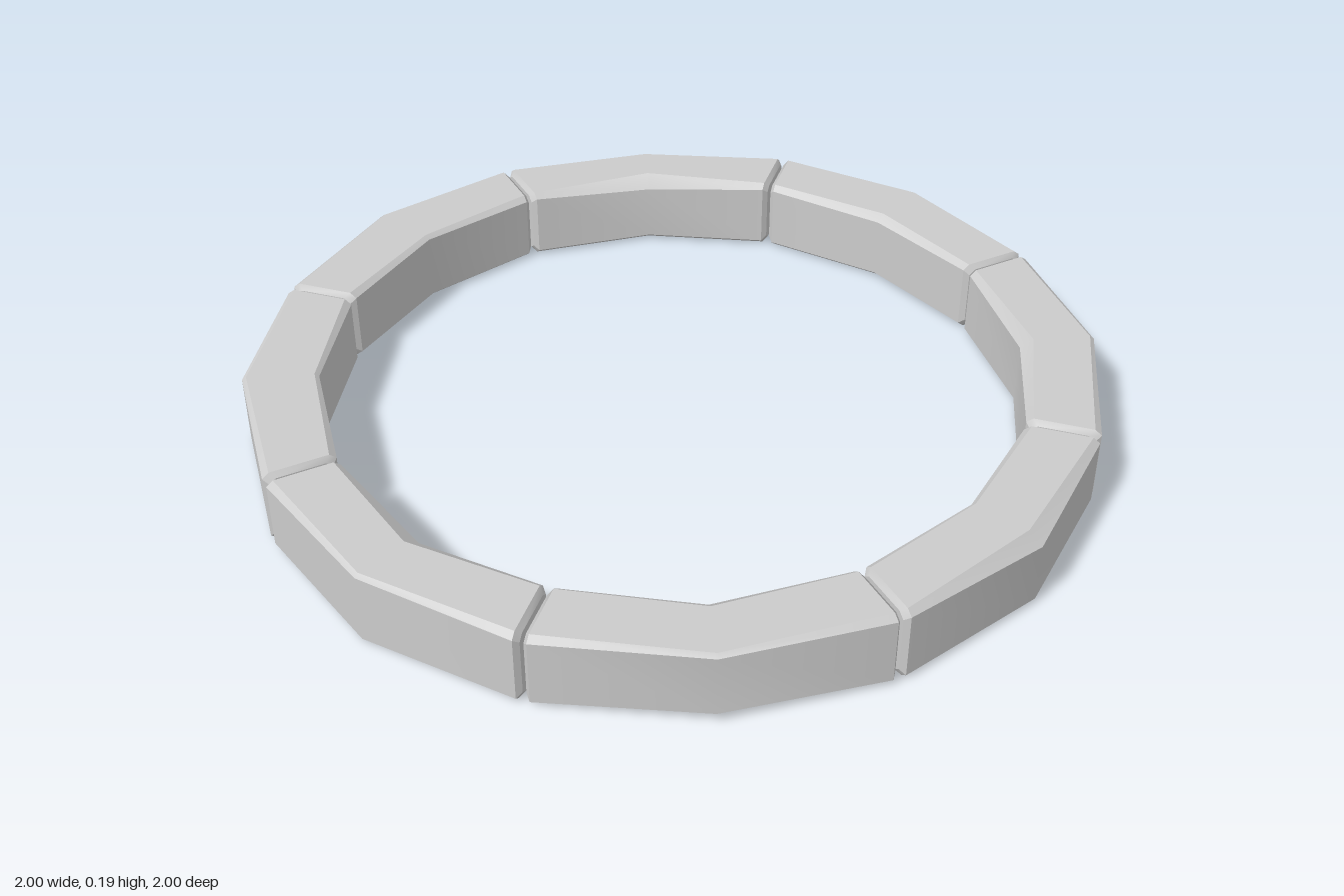
import * as THREE from 'three';
import { toCreasedNormals } from 'three/addons/utils/BufferGeometryUtils.js';

const INNER = 0.83, OUTER = 1.0, BOTTOM = 0.005, TOP = 0.19;
const STONES = 8, STEP = (Math.PI * 2) / STONES;

// Chamfers at the middle of each stone: outer top, inner top, inner bottom, outer bottom
const MID_CHAMFERS = [
  [0.035, 0.010, 0.020, 0.015],
  [0.010, 0.035, 0.015, 0.035],
  [0.010, 0.040, 0.025, 0.010],
  [0.010, 0.010, 0.025, 0.015],
  [0.010, 0.012, 0.015, 0.020],
  [0.035, 0.037, 0.015, 0.010],
  [0.013, 0.022, 0.015, 0.035],
  [0.010, 0.030, 0.015, 0.030],
];
const END_CHAMFERS = [0.016, 0.016, 0.016, 0.016];

// Chamfered rectangle as [radius, height] pairs, counter-clockwise
function profile([ot, it, ib, ob], inset, grow = 0) {
  const a = INNER + inset, b = OUTER - inset + grow, lo = BOTTOM + inset, hi = TOP - inset;
  const v = 0.8; // chamfers are slightly wider than they are tall
  return [
    [b, lo + ob * v], [b, hi - ot * v], [b - ot, hi], [a + it, hi],
    [a, hi - it * v], [a, lo + ib * v], [a + ib, lo], [b - ob, lo],
  ];
}

// One stone: cross-sections swept from seam to seam through a bent middle
function stoneGeometry(index) {
  const start = index * STEP, end = start + STEP;
  const sections = [
    { angle: start, shift: 0.004, points: profile(END_CHAMFERS, 0.012) },
    { angle: start, shift: 0.015, points: profile(END_CHAMFERS, 0) },
    { angle: start + STEP / 2, shift: 0, points: profile(MID_CHAMFERS[index], 0, 0.008) },
    { angle: end, shift: -0.015, points: profile(END_CHAMFERS, 0) },
    { angle: end, shift: -0.004, points: profile(END_CHAMFERS, 0.012) },
  ];
  const positions = [], faces = [], n = 8;
  for (const { angle, shift, points } of sections) {
    const c = Math.cos(angle), s = Math.sin(angle);
    for (const [r, y] of points) positions.push(r * c - shift * s, y, r * s + shift * c);
  }
  // Long sides and end bevels
  for (let i = 0; i < sections.length - 1; i++) {
    for (let j = 0; j < n; j++) {
      const k = (j + 1) % n;
      const a = i * n + j, b = i * n + k, c = b + n, d = a + n;
      faces.push(a, b, c, a, c, d);
    }
  }
  // End faces
  const last = (sections.length - 1) * n;
  for (let j = 1; j < n - 1; j++) {
    faces.push(0, j + 1, j, last, last + j, last + j + 1);
  }
  const geometry = new THREE.BufferGeometry();
  geometry.setAttribute('position', new THREE.Float32BufferAttribute(positions, 3));
  geometry.setIndex(faces);
  return toCreasedNormals(geometry, 0.45);
}

export function createModel() {
  const model = new THREE.Group();
  model.name = 'stoneRing';
  const material = new THREE.MeshStandardMaterial({ color: 0xcccccc });
  for (let i = 0; i < STONES; i++) {
    const stone = new THREE.Mesh(stoneGeometry(i), material);
    stone.name = `curbStone${i + 1}`;
    model.add(stone);
  }
  return model;
}
